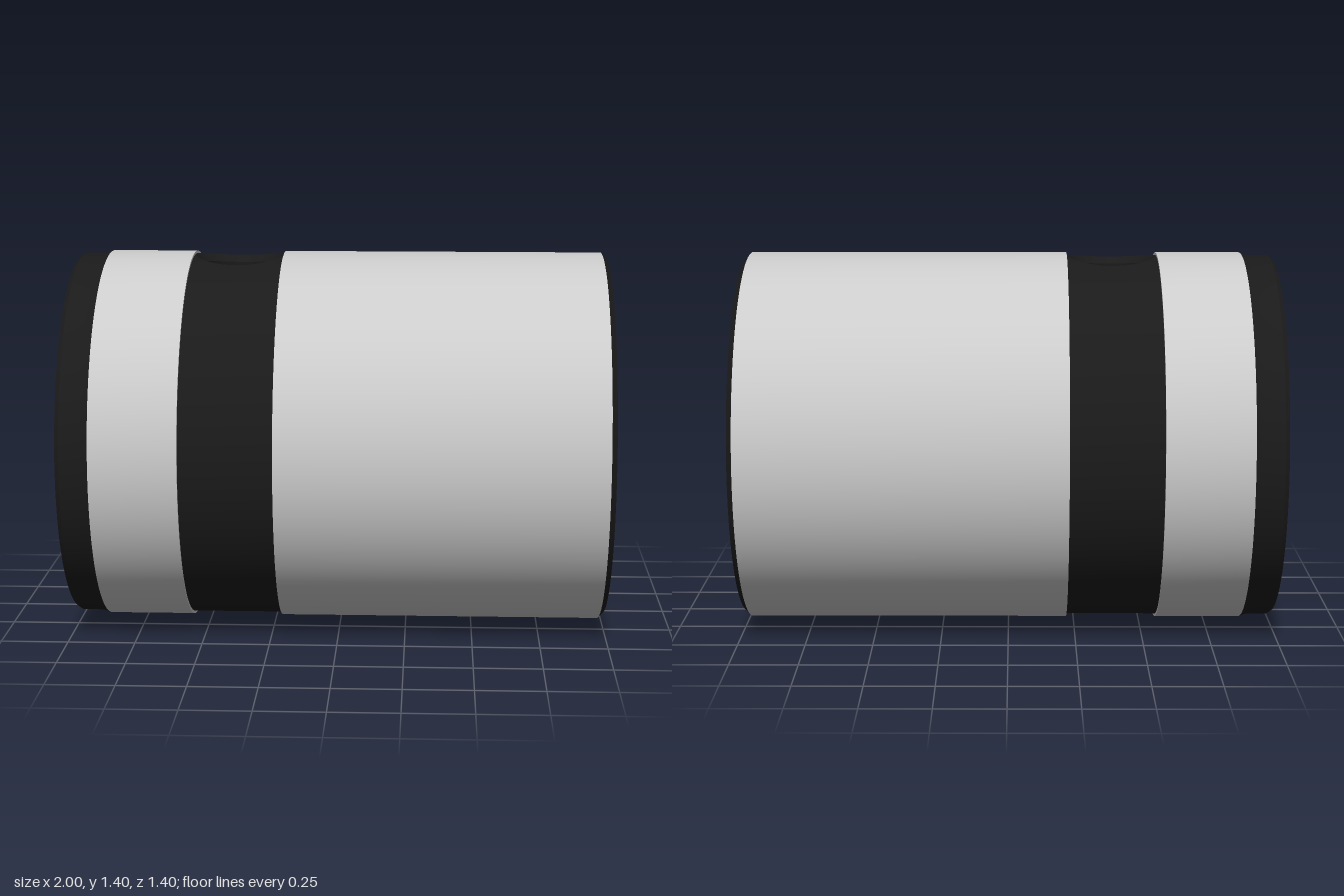
import * as THREE from 'three';
import { toCreasedNormals } from 'three/addons/utils/BufferGeometryUtils.js';

const R = 0.7, GROOVE = 0.69, BORE = 0.45;   // radii
const HOLE_X = -0.39, HALF = 0.17;           // centre and half width of the oil groove
const X0 = HOLE_X - HALF, X1 = HOLE_X + HALF;
const GROOVE_ANGLE = 0.3, BORE_ANGLE = 0.5;  // half angles left open for the hole patches

const steel = new THREE.MeshStandardMaterial({ color: 0xcccccc });
const dark = new THREE.MeshStandardMaterial({ color: 0x1a1a1a });

function mesh(name, geometry, material) {
  const m = new THREE.Mesh(toCreasedNormals(geometry, 0.5), material);
  m.name = name;
  return m;
}

// Turn a profile of [x, radius] points around the x axis
function turned(name, profile, material, start = 0, sweep = Math.PI * 2) {
  const points = profile.map(([x, r]) => new THREE.Vector2(r, x));
  const segments = Math.round(128 * sweep / (Math.PI * 2));
  const g = new THREE.LatheGeometry(points, segments, start, sweep);
  return mesh(name, g.rotateZ(-Math.PI / 2), material);
}

// The two half bands left between the top and bottom hole patches
function splitBand(name, profile, gap) {
  const group = new THREE.Group();
  group.name = name;
  for (const start of [Math.PI / 2, Math.PI * 1.5]) {
    group.add(turned(name + 'Half', profile, dark, start + gap, Math.PI - 2 * gap));
  }
  return group;
}

// Loft from the groove floor through the countersunk hole to the bore wall
function holePatch() {
  const n = 64;
  const square = (radius, angle) => (t) => {
    const k = 1 / Math.max(Math.abs(Math.cos(t)), Math.abs(Math.sin(t)));
    const a = angle * k * Math.sin(t);
    return [HOLE_X + HALF * k * Math.cos(t), radius * Math.cos(a), radius * Math.sin(a)];
  };
  const round = (radius, r) => (t) => {
    const z = r * Math.sin(t);
    return [HOLE_X + r * Math.cos(t), Math.sqrt(radius * radius - z * z), z];
  };
  const loops = [
    square(GROOVE, GROOVE_ANGLE), round(GROOVE, 0.167), round(0.66, 0.142),
    round(BORE, 0.142), square(BORE, BORE_ANGLE),
  ];
  const positions = [], index = [];
  loops.forEach((loop, j) => {
    for (let i = 0; i < n; i++) {
      positions.push(...loop(i / n * Math.PI * 2));
      if (j === loops.length - 1) continue;
      const a = j * n + i, b = j * n + (i + 1) % n;
      index.push(a, a + n, b, b, a + n, b + n);
    }
  });
  const g = new THREE.BufferGeometry();
  g.setAttribute('position', new THREE.Float32BufferAttribute(positions, 3));
  g.setIndex(index);
  return g;
}

export function createModel() {
  const model = new THREE.Group();
  model.name = 'bushing';
  const body = new THREE.Group();
  body.name = 'sleeve';
  body.position.y = R;
  model.add(body);

  // Ground outer bands, each with its small step down into the groove
  body.add(turned('shortOuterBand', [[-0.88, R], [X0, R], [X0, GROOVE]], steel));
  body.add(turned('longOuterBand', [[X1, GROOVE], [X1, R], [0.98, R]], steel));

  // Right end: chamfer, face, rounded lip, bore with a ring groove
  const lip = [];
  for (let i = 0; i <= 10; i++) {
    const a = i / 10 * Math.PI / 2;
    lip.push([0.875 + 0.125 * Math.cos(a), 0.53 - 0.08 * Math.sin(a)]);
  }
  body.add(turned('rightEndAndBore', [
    [0.98, R], [1, 0.68], ...lip,
    [0.77, BORE], [0.77, 0.48], [0.71, 0.48], [0.71, BORE], [X1, BORE],
  ], dark));

  // Left end: bore, small lip, face, chamfered and relieved rim
  body.add(turned('leftEndAndBore', [
    [X0, BORE], [-0.95, BORE], [-0.98, 0.457], [-1, 0.475],
    [-1, 0.68], [-0.985, GROOVE], [-0.91, GROOVE], [-0.88, R],
  ], dark));

  // Oil groove and the stretch of bore beneath it
  body.add(splitBand('oilGroove', [[X0, GROOVE], [X1, GROOVE]], GROOVE_ANGLE));
  body.add(splitBand('middleBore', [[X1, BORE], [X0, BORE]], BORE_ANGLE));

  // Oil holes, top and bottom
  const top = mesh('topOilHole', holePatch(), dark);
  const bottom = mesh('bottomOilHole', holePatch(), dark);
  bottom.rotation.x = Math.PI;
  body.add(top, bottom);

  return model;
}
